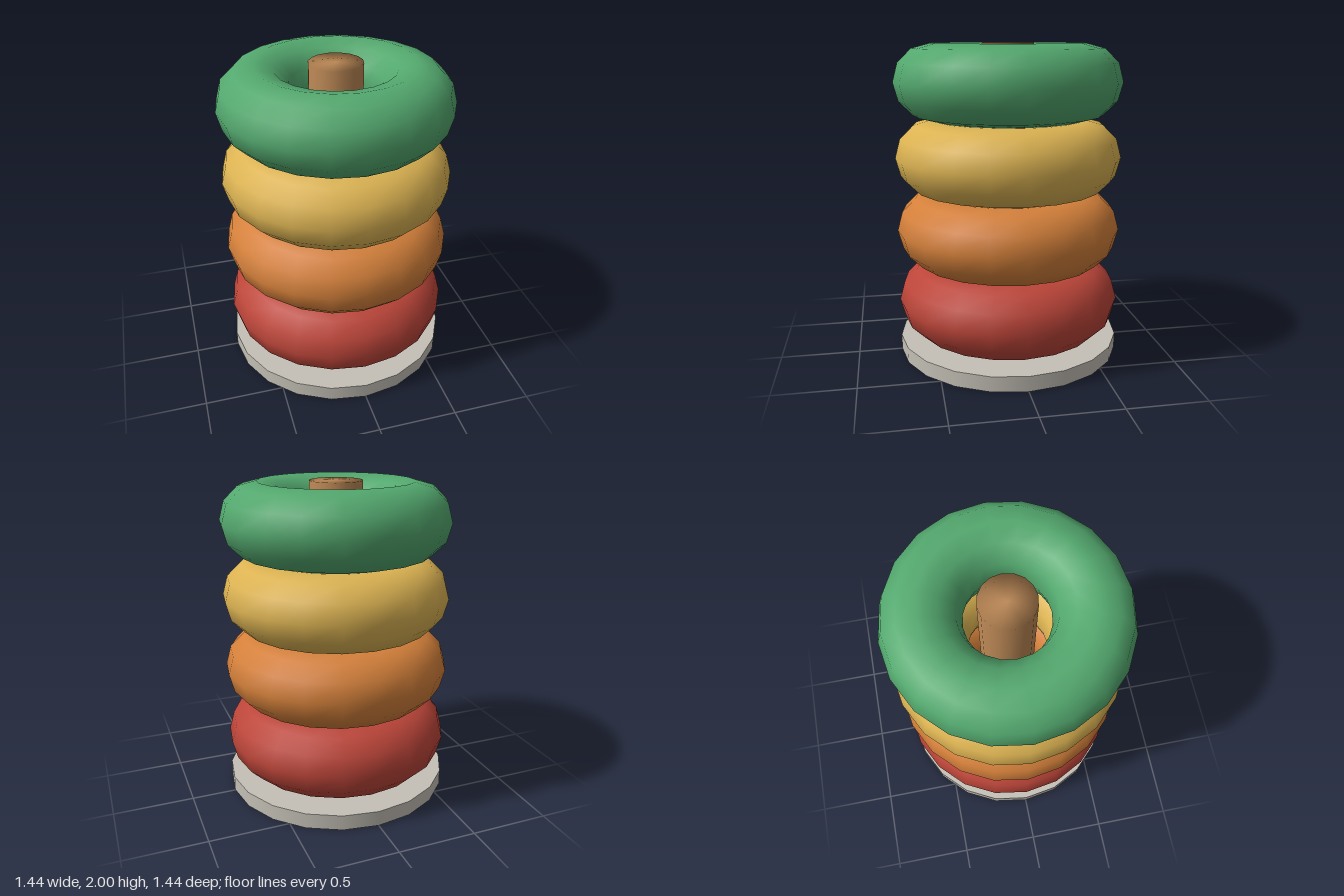
import * as THREE from 'three';
import { mergeVertices } from 'three/addons/utils/BufferGeometryUtils.js';

const SEGMENTS = 20;
const TUBE = 0.235;

function material(name, color) {
  const m = new THREE.MeshStandardMaterial({ color });
  m.name = name;
  return m;
}

function addPart(parent, name, geometry, mat, y) {
  const mesh = new THREE.Mesh(geometry, mat);
  mesh.name = name;
  mesh.position.y = y;
  parent.add(mesh);
  return mesh;
}

export function createModel() {
  const model = new THREE.Group();
  model.name = 'stackingRings';

  // Flat round base, its underside just above the peg's end
  addPart(model, 'base', new THREE.CylinderGeometry(0.72, 0.72, 0.098, SEGMENTS),
    material('stone grey', 0xc4c0b6), 0.051);

  // Wooden peg, with normals shared between side and ends for a soft rim
  let peg = new THREE.CylinderGeometry(0.165, 0.165, 2, 16);
  peg.deleteAttribute('uv');
  peg.deleteAttribute('normal');
  peg = mergeVertices(peg);
  peg.computeVertexNormals();
  addPart(model, 'peg', peg, material('wood', 0xbc8855), 1);

  // Four equal rings, stacked from bottom to top
  const ring = new THREE.TorusGeometry(0.72 - TUBE, TUBE, 12, SEGMENTS).rotateX(-Math.PI / 2);
  const colours = [
    ['red', 0xbc4539],
    ['orange', 0xd4803a],
    ['yellow', 0xdcb352],
    ['green', 0x53a86e],
  ];
  colours.forEach(([name, hex], i) => {
    addPart(model, name + 'Ring', ring, material(name, hex), 0.353 + i * 0.4707);
  });

  return model;
}
